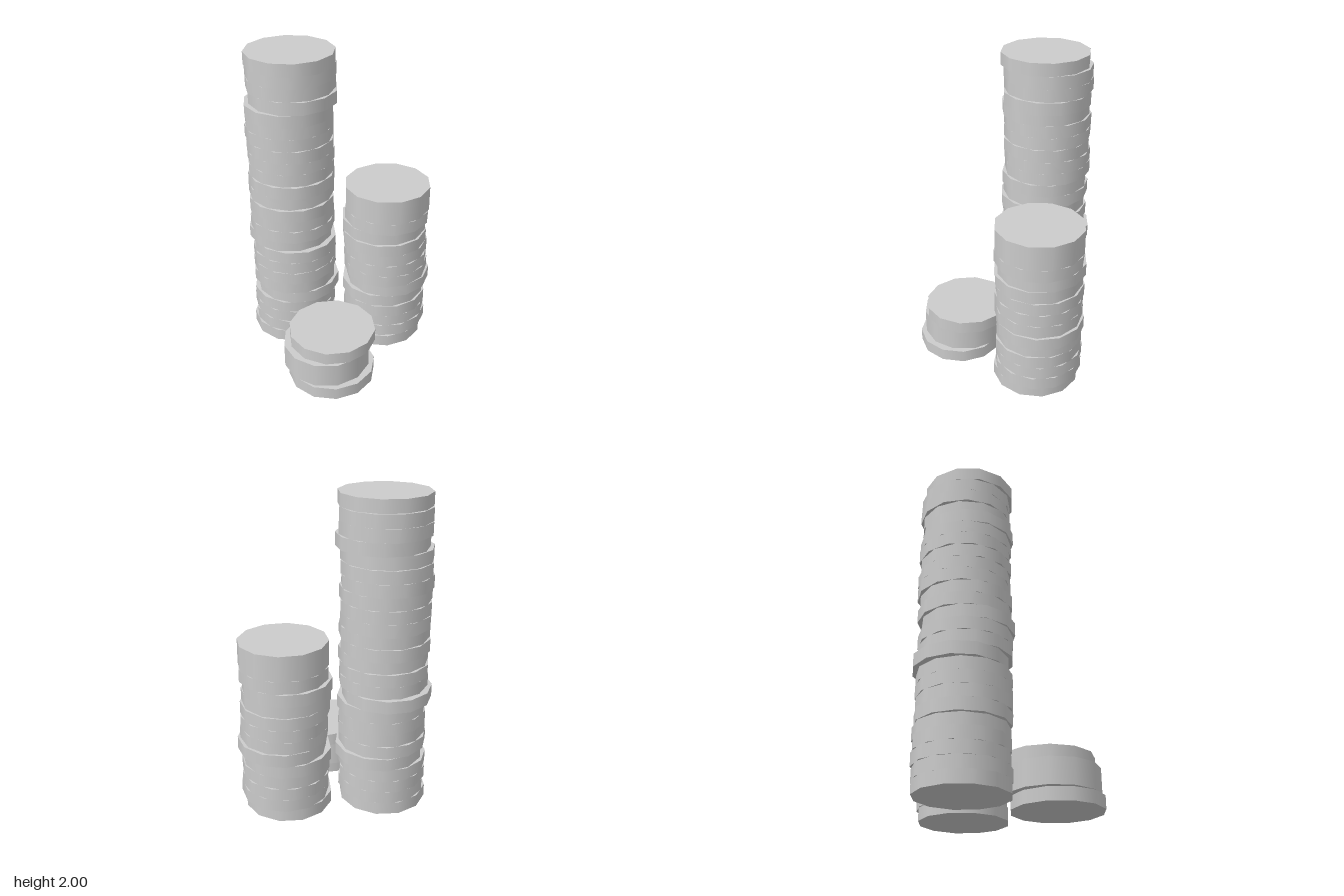
import * as THREE from 'three';

const RADIUS = 0.28, THICK = 0.08;

// Each coin, bottom to top: [centre x, centre z, turn in degrees]
const STACKS = {
  tallStack: [
    [-0.315, -0.295, 5], [-0.305, -0.295, 18], [-0.305, -0.3, 9], [-0.305, -0.3, 25], [-0.28, -0.295, 15],
    [-0.305, -0.295, 22], [-0.3, -0.285, 8], [-0.3, -0.29, 12], [-0.295, -0.29, 20], [-0.315, -0.32, 27],
    [-0.305, -0.285, 6], [-0.307, -0.29, 17], [-0.307, -0.275, 24], [-0.305, -0.295, 11], [-0.302, -0.285, 3],
    [-0.302, -0.302, 19], [-0.3, -0.3, 13], [-0.3, -0.293, 28], [-0.305, -0.3, 7], [-0.303, -0.297, 16],
    [-0.307, -0.285, 21], [-0.275, -0.285, 26], [-0.287, -0.297, 14], [-0.285, -0.293, 10], [-0.29, -0.275, 3],
  ],
  middleStack: [
    [0.275, -0.118, 4], [0.3, -0.125, 20], [0.297, -0.13, 11], [0.295, -0.125, 26], [0.288, -0.135, 2],
    [0.318, -0.128, 17], [0.3, -0.123, 14], [0.298, -0.125, 8], [0.295, -0.128, 19], [0.285, -0.122, 23],
    [0.285, -0.14, 27], [0.3, -0.122, 5], [0.3, -0.122, 27], [0.3, -0.122, 27],
  ],
  shortStack: [
    [-0.165, 0.32, 5], [-0.19, 0.285, 26], [-0.19, 0.285, 26], [-0.15, 0.272, 19],
  ],
};

export function createModel() {
  const model = new THREE.Group();
  model.name = 'coinStacks';
  const material = new THREE.MeshStandardMaterial({ color: 0xcccccc });
  const coinShape = new THREE.CylinderGeometry(RADIUS, RADIUS, THICK, 12);

  // Slightly shifted and turned twelve-sided coins piled up
  for (const [name, coins] of Object.entries(STACKS)) {
    const stack = new THREE.Group();
    stack.name = name;
    coins.forEach(([x, z, turn], i) => {
      const coin = new THREE.Mesh(coinShape, material);
      coin.name = `coin${i + 1}`;
      coin.position.set(x, (i + 0.5) * THICK, z);
      coin.rotation.y = -THREE.MathUtils.degToRad(turn);
      stack.add(coin);
    });
    model.add(stack);
  }
  return model;
}
